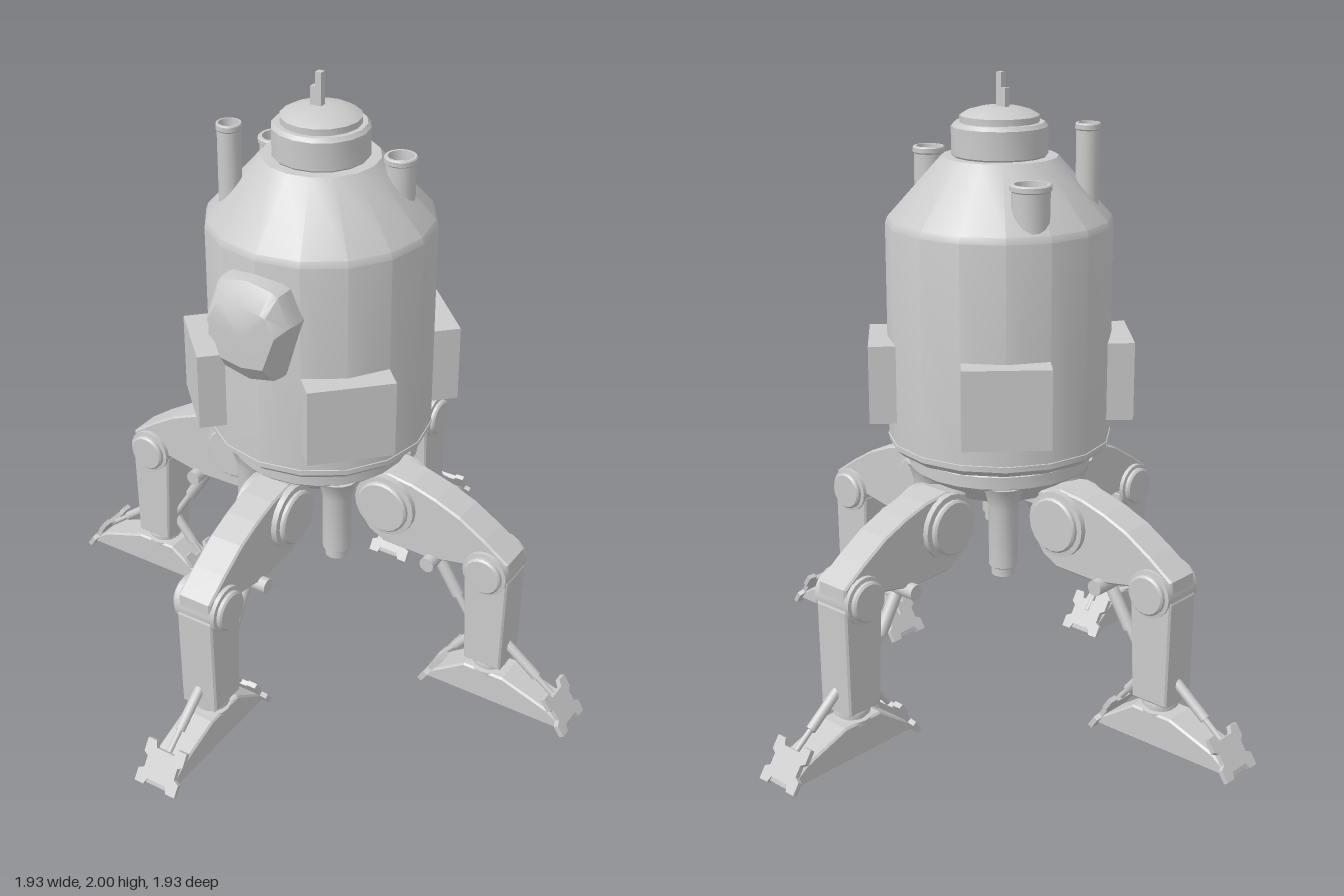
import * as THREE from 'three';
import { toCreasedNormals } from 'three/addons/utils/BufferGeometryUtils.js';

const grey = new THREE.MeshStandardMaterial({ color: 0xcccccc });
const V = (x, y, z = 0) => new THREE.Vector3(x, y, z);

function add(parent, name, geometry, x = 0, y = 0, z = 0) {
  const mesh = new THREE.Mesh(geometry, grey);
  mesh.name = name;
  mesh.position.set(x, y, z);
  parent.add(mesh);
  return mesh;
}

// Turned part from [radius, height] pairs listed bottom to top
function turned(points, sides = 16) {
  const g = new THREE.LatheGeometry(points.map(p => new THREE.Vector2(p[0], p[1])), sides);
  return toCreasedNormals(g, 0.5);
}

// Side outline given thickness along z, with a small chamfer
function slab(points, halfWidth, bevel = 0.006) {
  const shape = new THREE.Shape(points.map(p => new THREE.Vector2(p[0], p[1])));
  const g = new THREE.ExtrudeGeometry(shape, {
    depth: 2 * (halfWidth - bevel), bevelEnabled: bevel > 0,
    bevelSize: bevel, bevelThickness: bevel, bevelOffset: -bevel, bevelSegments: 1,
  });
  return g.translate(0, 0, -(halfWidth - bevel));
}

// Straight rod between two points
function rod(parent, name, a, b, radius) {
  const g = new THREE.CylinderGeometry(radius, radius, a.distanceTo(b), 10);
  const mid = a.clone().add(b).multiplyScalar(0.5);
  const mesh = add(parent, name, g, mid.x, mid.y, mid.z);
  mesh.quaternion.setFromUnitVectors(V(0, 1), b.clone().sub(a).normalize());
}

// Joint disc with a smaller stepped cap on both sides
function joint(parent, name, x, y, radius, halfWidth) {
  const w = halfWidth, r = radius, i = radius * 0.84;
  const g = turned([[0, -w], [i - 0.006, -w], [i, -w + 0.006], [i, -w + 0.016], [r, -w + 0.018], [r, w - 0.018],
    [i, w - 0.016], [i, w - 0.006], [i - 0.006, w], [0, w]], 20);
  add(parent, name, g.rotateX(Math.PI / 2), x, y);
}

// Splayed end plate of a foot, notched on all four sides
function endPlate() {
  const half = [[0.075, 0], [0.075, 0.04], [0.056, 0.05], [0.056, 0.085], [0.072, 0.095], [0.072, 0.138],
    [0.04, 0.138], [0.032, 0.118]];
  const outline = [[0.034, 0.02], [0.042, 0], ...half];
  const mirror = outline.map(([x, y]) => [-x, y]).reverse();
  return slab([...outline, ...mirror], 0.008, 0).rotateY(Math.PI / 2).rotateZ(0.59);
}

function makeFoot() {
  const foot = new THREE.Group();
  foot.name = 'foot';
  add(foot, 'footBody', slab([[-0.255, 0.012], [0.255, 0.012], [0.25, 0.03], [0.19, 0.07], [0.03, 0.125],
    [-0.11, 0.125], [-0.19, 0.07], [-0.25, 0.03]], 0.055));
  for (const turn of [0, Math.PI]) {
    const end = new THREE.Group();
    end.name = 'footEnd';
    end.rotation.y = turn;
    add(end, 'footEndPlate', endPlate(), 0.258, 0.006);
    foot.add(end);
  }
  foot.position.x = 0.698;
  return foot;
}

// One leg reaching out along +x
function makeLeg() {
  const leg = new THREE.Group();
  leg.name = 'leg';
  add(leg, 'thigh', slab([[0.2, 0.56], [0.225, 0.525], [0.28, 0.495], [0.44, 0.49], [0.57, 0.515], [0.65, 0.46],
    [0.724, 0.49], [0.722, 0.572], [0.64, 0.63], [0.55, 0.685], [0.465, 0.72], [0.38, 0.745], [0.29, 0.757],
    [0.2, 0.73]], 0.058));
  joint(leg, 'hipJoint', 0.291, 0.648, 0.105, 0.095);
  joint(leg, 'kneeJoint', 0.65, 0.52, 0.075, 0.09);
  add(leg, 'shin', slab([[0.592, 0.16], [0.72, 0.16], [0.726, 0.5], [0.7, 0.56], [0.61, 0.56], [0.576, 0.5]], 0.064));

  // Ankle stack
  add(leg, 'ankle', turned([[0, 0.11], [0.06, 0.11], [0.06, 0.125], [0.045, 0.127], [0.045, 0.136], [0.056, 0.138],
    [0.056, 0.15], [0.05, 0.165], [0, 0.165]]), 0.655);

  // Knee piston on its cross pin
  const pin = add(leg, 'pistonPin', new THREE.CylinderGeometry(0.025, 0.025, 0.17, 12), 0.455, 0.485);
  pin.rotation.x = Math.PI / 2;
  rod(leg, 'pistonSleeve', V(0.445, 0.48), V(0.53, 0.345), 0.02);
  rod(leg, 'pistonRod', V(0.53, 0.345), V(0.61, 0.22), 0.012);

  // Ankle dampers, outside and inside
  for (const [x0, x1] of [[0.7, 0.905], [0.61, 0.48]]) {
    const top = V(x0, 0.235), end = V(x1, 0.075);
    const middle = top.clone().lerp(end, 0.6);
    rod(leg, 'damperSleeve', top, middle, 0.016);
    rod(leg, 'damperRod', middle, end, 0.009);
  }
  leg.add(makeFoot());
  return leg;
}

// Faceted bulging window lofted through scaled outlines
function makeWindow() {
  const side = [[0, 1.505], [0.085, 1.49], [0.108, 1.478], [0.145, 1.385], [0.092, 1.195], [0, 1.175]];
  const outline = [...side, ...side.slice(1, -1).reverse().map(([x, y]) => [-x, y])].reverse();
  const rings = [[1, 1, 0.27], [1, 1, 0.35], [0.95, 0.97, 0.39], [0.8, 0.6, 0.432], [0, 0, 0.434]];
  const n = outline.length, pos = [], index = [];
  for (const [sx, sy, z] of rings)
    for (const [x, y] of outline) pos.push(x * sx, 1.33 + (y - 1.33) * sy, z);
  for (let r = 0; r < rings.length - 1; r++)
    for (let i = 0; i < n; i++) {
      const a = r * n + i, b = r * n + (i + 1) % n;
      index.push(a, b, b + n, a, b + n, a + n);
    }
  const g = new THREE.BufferGeometry();
  g.setAttribute('position', new THREE.Float32BufferAttribute(pos, 3));
  g.setIndex(index);
  return toCreasedNormals(g, 0.6);
}

export function createModel() {
  const model = new THREE.Group();
  model.name = 'walkerPod';
  const pod = new THREE.Group();
  pod.name = 'pod';
  pod.position.set(0.007, 0, 0.014);
  model.add(pod);

  // Hull, neck, cap and mast
  add(pod, 'hull', turned([[0, 0.83], [0.33, 0.83], [0.352, 0.85], [0.352, 1.545], [0.345, 1.565], [0.18, 1.75],
    [0, 1.75]]));
  add(pod, 'hullSeam', turned([[0.35, 0.86], [0.355, 0.862], [0.355, 0.868], [0.35, 0.87]]));
  add(pod, 'neck', turned([[0.135, 1.74], [0.148, 1.755], [0.148, 1.84], [0.138, 1.852], [0.122, 1.852],
    [0.122, 1.872], [0.1, 1.885], [0.06, 1.896], [0, 1.9]]));
  add(pod, 'mast', new THREE.BoxGeometry(0.02, 0.12, 0.02), -0.004, 1.94, 0);
  add(pod, 'mastBase', new THREE.BoxGeometry(0.022, 0.07, 0.02), -0.02, 1.92, 0);
  add(pod, 'window', makeWindow());

  // Open-topped stacks on the sloping roof: x, z, radius, bottom, top
  const stacks = [[-0.217, 0.156, 0.039, 1.55, 1.853], [-0.242, -0.134, 0.063, 1.54, 1.708], [0.223, -0.08, 0.05, 1.56, 1.765]];
  for (const [x, z, r, low, high] of stacks)
    add(pod, 'roofStack', turned([[0, low], [r * 0.92, low], [r * 0.92, high - 0.022], [r, high - 0.018],
      [r, high - 0.004], [r * 0.94, high], [r * 0.78, high], [r * 0.74, high - 0.03], [0, high - 0.03]]), x, 0, z);

  // Hip deck under the hull
  add(pod, 'hipDeck', turned([[0, 0.7], [0.2, 0.7], [0.26, 0.765], [0.282, 0.765], [0.29, 0.773], [0.29, 0.812],
    [0.285, 0.817], [0.26, 0.817], [0.26, 0.835]], 24));

  // Side boxes and thrusters on the diagonals
  for (let i = 0; i < 4; i++) {
    const a = Math.PI / 4 + i * Math.PI / 2, c = Math.cos(a), s = Math.sin(a);
    const box = add(pod, 'sideBox', new THREE.BoxGeometry(0.13, 0.248, 0.268), c * 0.345, 1.064, s * 0.345);
    box.rotation.y = -a;
    add(pod, 'thruster', turned([[0, 0.49], [0.026, 0.49], [0.03, 0.475], [0.037, 0.475], [0.037, 0.5],
      [0.046, 0.506], [0.046, 0.7], [0.056, 0.74], [0.07, 0.77], [0, 0.77]]), c * 0.23, 0, s * 0.23);
  }

  // Four legs
  for (let i = 0; i < 4; i++) {
    const leg = makeLeg();
    leg.rotation.y = i * Math.PI / 2;
    leg.position.set(i % 2 ? 0.007 : -0.003, 0, i % 2 ? -0.002 : 0.013);
    model.add(leg);
  }
  return model;
}
